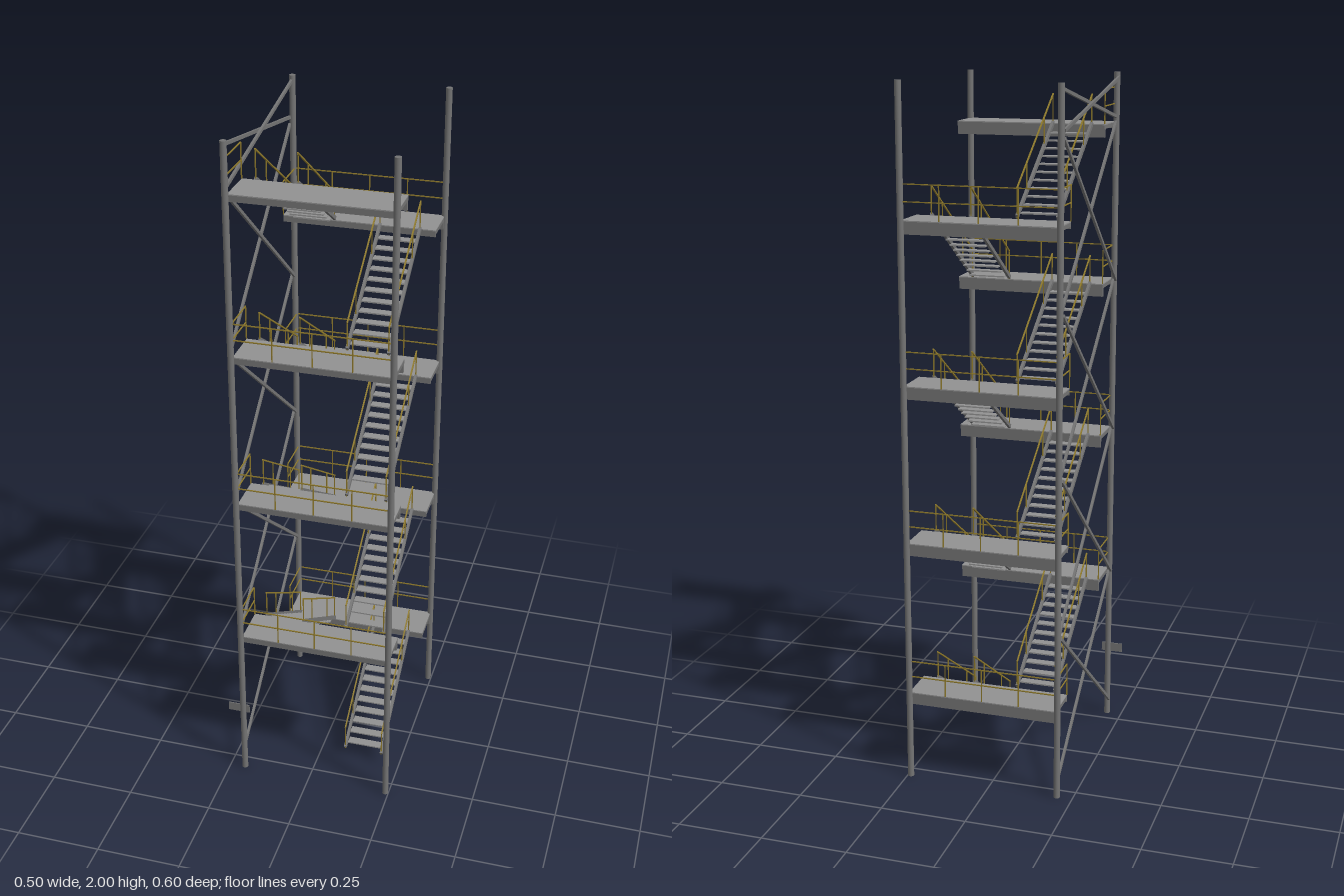
import * as THREE from 'three';

const plate = new THREE.MeshStandardMaterial({ color: 0x929292 });
const frame = new THREE.MeshStandardMaterial({ color: 0x747474 });
const yellow = new THREE.MeshStandardMaterial({ color: 0x8f7a2c });

const X0 = -0.205, X1 = 0.24, Z = 0.291;   // column positions
const INNER = 0.172;                       // inner edge of the landings
const RISE = 0.228;                        // height of one flight
const RAIL = 0.003;                        // guard rail thickness

function add(parent, name, geometry, material) {
  const mesh = new THREE.Mesh(geometry, material);
  mesh.name = name;
  parent.add(mesh);
  return mesh;
}

// Axis-aligned box given by its limits
function box(parent, name, x0, x1, y0, y1, z0, z1, material) {
  const m = add(parent, name, new THREE.BoxGeometry(x1 - x0, y1 - y0, z1 - z0), material);
  m.position.set((x0 + x1) / 2, (y0 + y1) / 2, (z0 + z1) / 2);
}

// Rectangular bar between two points
function bar(parent, name, a, b, w, h, material) {
  const p = new THREE.Vector3(...a), q = new THREE.Vector3(...b);
  const m = add(parent, name, new THREE.BoxGeometry(w, h, p.distanceTo(q)), material);
  m.position.copy(p).lerp(q, 0.5);
  m.lookAt(q);
}

// Upright post
function post(parent, x, y, z, height) {
  const r = RAIL / 2;
  box(parent, 'railPost', x - r, x + r, y, y + height, z - r, z + r, yellow);
}

// Two-bar guard rail with evenly spaced posts
function guardRail(parent, a, b, spans) {
  for (const h of [0.05, 0.097]) {
    bar(parent, 'guardRail', [a[0], a[1] + h, a[2]], [b[0], b[1] + h, b[2]], RAIL, RAIL, yellow);
  }
  for (let i = 0; i <= spans; i++) {
    const t = i / spans;
    post(parent, a[0] + (b[0] - a[0]) * t, a[1], a[2] + (b[2] - a[2]) * t, 0.097);
  }
}

// Landing on the front (side 1) or back (side -1)
function landing(y, side, outerRail) {
  const g = new THREE.Group();
  g.name = side > 0 ? 'frontLanding' : 'backLanding';
  const z0 = side > 0 ? INNER : -Z, z1 = side > 0 ? Z : -INNER;
  box(g, 'landingDeck', -0.2, X1, y - 0.003, y, z0, z1, plate);
  // frame and beams below the deck
  box(g, 'landingFrame', -0.2, X1, y - 0.014, y - 0.003, z0, z1, frame);
  box(g, 'landingBeam', -0.2, X1, y - 0.038, y - 0.014, z0 + 0.004, z0 + 0.014, frame);
  box(g, 'landingEdge', -0.2, X1, y - 0.02, y - 0.014, z1 - 0.008, z1, frame);
  guardRail(g, [-0.2, y, z0 + 0.002], [-0.2, y, z1 - 0.002], 1);
  if (outerRail) guardRail(g, [-0.2, y, side * Z], [X1, y, side * Z], 4);
  return g;
}

// Flight climbing from z = dir * INNER to z = -dir * INNER
function flight(y, dir) {
  const g = new THREE.Group();
  g.name = 'stairFlight';
  const cx = dir > 0 ? 0.139 : -0.106;
  const at = (t, up, x) => [x, y + RISE * t + up, dir * INNER * (1 - 2 * t)];
  for (const s of [-1, 1]) {
    const x = cx + s * 0.057;
    bar(g, 'stringer', at(0, 0.006, x), at(1, 0.002, x), 0.008, 0.011, frame);
    bar(g, 'handrail', at(0, 0.082, x), at(1, 0.082, x), 0.004, 0.004, yellow);
    for (const t of [0.006, 0.26, 0.74, 0.994]) {
      post(g, ...at(t, 0, x), 0.082);
    }
  }
  // treads
  const n = 11;
  for (let i = 0; i < n; i++) {
    const [, ty, tz] = at((i + 1) / (n + 1), -0.004, cx);
    box(g, 'tread', cx - 0.053, cx + 0.053, ty - 0.004, ty, tz - 0.013, tz + 0.013, plate);
  }
  return g;
}

export function createModel() {
  const model = new THREE.Group();
  model.name = 'stairTower';

  // corner columns
  for (const x of [X0, X1]) {
    for (const z of [-Z, Z]) {
      add(model, 'column', new THREE.CylinderGeometry(0.009, 0.009, 2, 20), frame).position.set(x, 1, z);
    }
  }

  // alternating flights and landings
  for (let i = 0; i < 8; i++) {
    const dir = i % 2 ? -1 : 1, y = 0.037 + RISE * i;
    model.add(flight(y, dir));
    model.add(landing(y + RISE, -dir, i < 7));
  }

  // cross braces on the right side
  const levels = [0.05, 0.485, 0.945, 1.4, 1.86];
  const brace = (a, b, x) => bar(model, 'crossBrace', [x, a, Z - 0.006], [x, b, 0.006 - Z], 0.007, 0.009, frame);
  for (let i = 0; i < 4; i++) {
    brace(levels[i], levels[i + 1], -0.212);
    brace(levels[i + 1], levels[i], -0.205);
  }
  brace(1.985, 1.88, -0.212);
  brace(1.875, 1.985, -0.205);

  // small plate on the front right column
  box(model, 'columnPlate', -0.25, -0.185, 0.213, 0.24, Z - 0.0015, Z + 0.0015, frame);

  // centre on x
  const c = new THREE.Box3().setFromObject(model).getCenter(new THREE.Vector3());
  for (const child of model.children) child.position.x -= c.x;
  return model;
}
